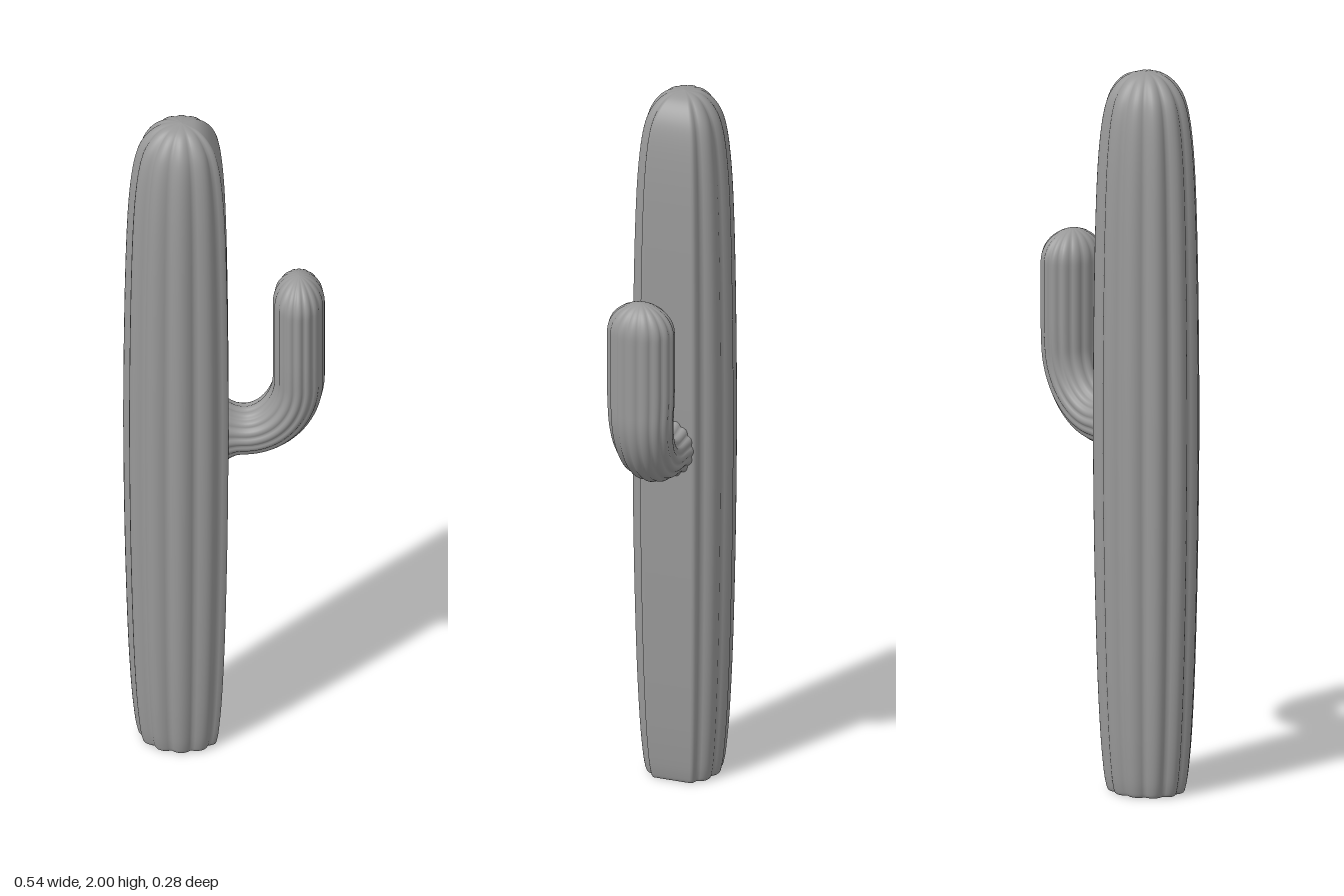
import * as THREE from 'three';

const TRUNK_X = -0.117;

// Skins a stack of ribbed elliptical rings.
// ring: { c: centre, u, v: axes scaled by the radii, s: scale }
function ribbedSkin(rings, lobes, depth, perLobe, flat = Infinity) {
  const n = lobes * perLobe, pos = [], idx = [];
  for (const { c, u, v, s } of rings) {
    for (let j = 0; j < n; j++) {
      const a = (j / n) * Math.PI * 2;
      const r = 1 - depth * (1 - Math.abs(Math.cos((a * lobes) / 2)));
      const p = c.clone()
        .addScaledVector(u, s * Math.min(r * Math.cos(a), flat))
        .addScaledVector(v, s * r * Math.sin(a));
      pos.push(p.x, p.y, p.z);
    }
  }
  for (let i = 0; i < rings.length - 1; i++) {
    for (let j = 0; j < n; j++) {
      const k = (j + 1) % n, a = i * n + j, b = i * n + k;
      idx.push(a, a + n, b, b, a + n, b + n);
    }
  }
  const g = new THREE.BufferGeometry();
  g.setAttribute('position', new THREE.Float32BufferAttribute(pos, 3));
  g.setIndex(idx);
  g.computeVertexNormals();
  return g;
}

// Tall trunk: twelve ribs, one side flattened where the arm grows
function trunkGeometry() {
  const profile = new THREE.SplineCurve([
    [0, 0.01], [0.55, 0.004], [0.7, 0], [0.76, 0.02], [0.81, 0.07], [0.87, 0.18],
    [0.93, 0.38], [0.98, 0.7], [1, 1.05], [0.98, 1.4], [0.94, 1.65], [0.88, 1.8],
    [0.78, 1.9], [0.62, 1.955], [0.36, 1.99], [0, 2],
  ].map(([s, y]) => new THREE.Vector2(s, y)));
  const u = new THREE.Vector3(0.157, 0, 0), v = new THREE.Vector3(0, 0, 0.139);
  const rings = profile.getPoints(75).map((p) => ({
    c: new THREE.Vector3(TRUNK_X, Math.min(2, Math.max(0, p.y)), 0), u, v, s: Math.max(0, p.x),
  }));
  return ribbedSkin(rings, 12, 0.1, 8, 0.81);
}

// Side arm: leaves the trunk level, bends upward and ends in a dome
function armGeometry() {
  const path = new THREE.Path();
  path.moveTo(-0.05, 0.997);
  path.lineTo(0.05, 0.997);
  path.absellipse(0.05, 1.177, 0.15, 0.18, -Math.PI / 2, 0, false);
  path.lineTo(0.2, 1.5);
  const length = path.getLength(), cap = 0.085, bodyEnd = 1 - cap / length;
  const steps = [];
  for (let i = 0; i < 44; i++) steps.push([(i / 44) * bodyEnd, 1]);
  for (let i = 0; i <= 12; i++) {
    const a = (i / 12) * Math.PI / 2;
    steps.push([bodyEnd + (1 - bodyEnd) * Math.sin(a), Math.cos(a)]);
  }
  const rings = steps.map(([t, s]) => {
    const p = path.getPointAt(Math.min(t, 1)), d = path.getTangentAt(Math.min(t, 1));
    const flare = 0.025 * Math.exp(-Math.pow(Math.max(0, p.x + 0.01) / 0.03, 2));
    const depthRadius = 0.07 + 0.025 * THREE.MathUtils.smoothstep(t, 0.05, 0.65);
    return {
      c: new THREE.Vector3(p.x, p.y, 0),
      u: new THREE.Vector3(d.y, -d.x, 0).multiplyScalar(0.07 + flare),
      v: new THREE.Vector3(0, 0, depthRadius + flare * 0.4),
      s,
    };
  });
  return ribbedSkin(rings, 16, 0.07, 6);
}

export function createModel() {
  const group = new THREE.Group();
  group.name = 'cactus';
  const skin = new THREE.MeshStandardMaterial({ color: 0x999999 });
  skin.name = 'cactus grey';

  const trunk = new THREE.Mesh(trunkGeometry(), skin);
  trunk.name = 'trunk';
  const arm = new THREE.Mesh(armGeometry(), skin);
  arm.name = 'arm';

  group.add(trunk, arm);
  return group;
}
